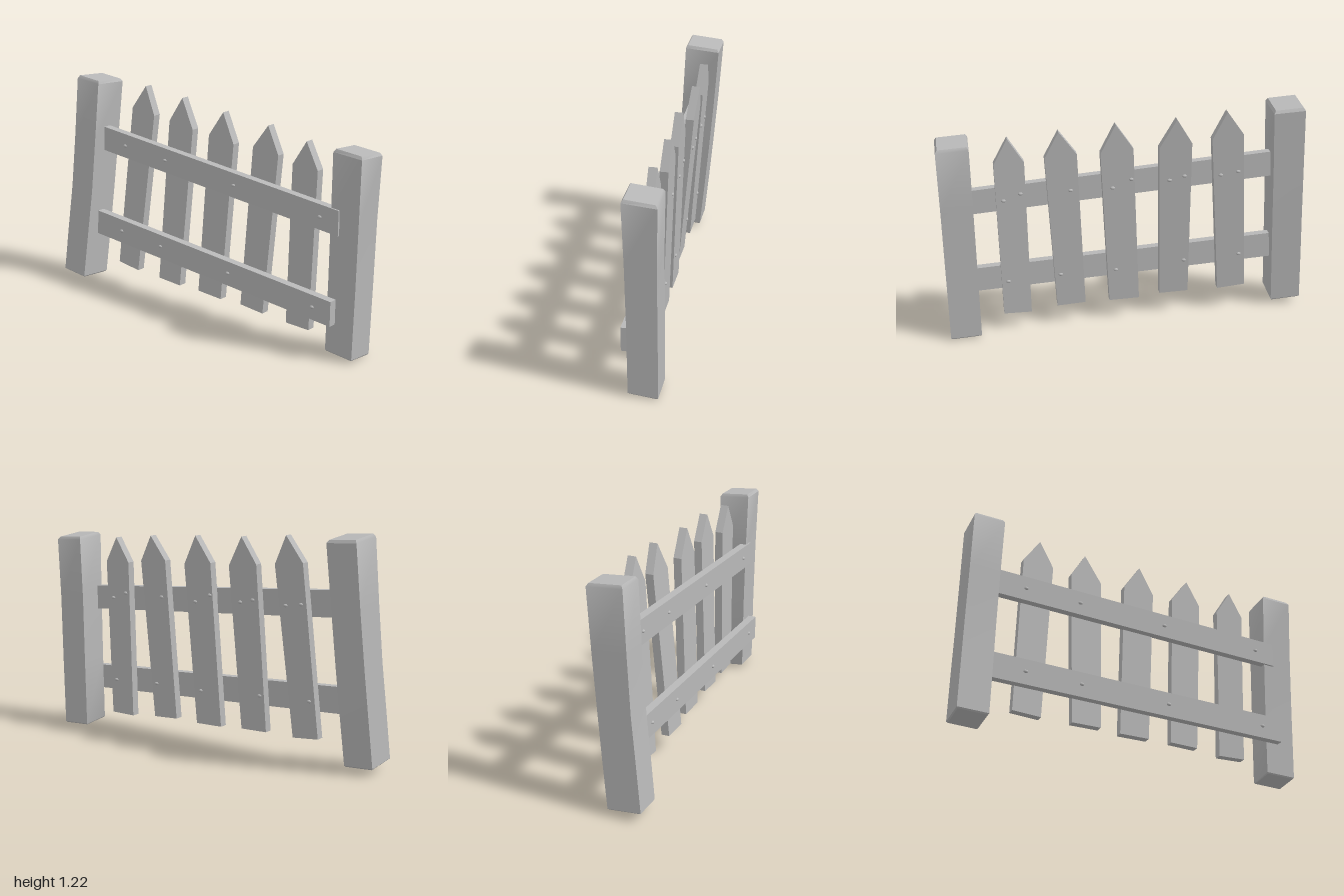
import * as THREE from 'three';
import { toCreasedNormals } from 'three/addons/utils/BufferGeometryUtils.js';

const wood = new THREE.MeshStandardMaterial({ color: 0xb8b8b8 });
wood.name = 'grey';

function addMesh(parent, geometry, name) {
  const mesh = new THREE.Mesh(geometry, wood);
  mesh.name = name;
  parent.add(mesh);
  return mesh;
}

// Post from rows of [y, x0, x1, z0, z1], bottom to top, with its ends cut askew.
function post(rows, slopeX, slopeZ) {
  const last = rows.length - 1;
  const geo = new THREE.BoxGeometry(1, 1, 1, 1, last, 1);
  const pos = geo.attributes.position;
  for (let i = 0; i < pos.count; i++) {
    const [y, x0, x1, z0, z1] = rows[Math.round((pos.getY(i) + 0.5) * last)];
    const u = pos.getX(i), w = pos.getZ(i);
    pos.setXYZ(i,
      THREE.MathUtils.lerp(x0, x1, u + 0.5),
      y + u * slopeX + w * slopeZ,
      THREE.MathUtils.lerp(z0, z1, w + 0.5));
  }
  return toCreasedNormals(geo, 0.6);
}

// Board outlined in the z-y plane and extruded along x; lean(y) gives its back face.
function board(points, thickness, lean) {
  const shape = new THREE.Shape(points.map(([z, y]) => new THREE.Vector2(-z, y)));
  const geo = new THREE.ExtrudeGeometry(shape, { depth: thickness, bevelEnabled: false });
  geo.rotateY(Math.PI / 2);
  const pos = geo.attributes.position;
  for (let i = 0; i < pos.count; i++) pos.setX(i, pos.getX(i) + lean(pos.getY(i)));
  geo.computeVertexNormals();
  return geo;
}

export function createModel() {
  const fence = new THREE.Group();
  fence.name = 'picketFence';

  // Posts
  addMesh(fence, post([
    [0.005, 0.006, 0.148, 0.815, 0.970],
    [0.012, 0.000, 0.155, 0.810, 0.976],
    [0.40, 0.000, 0.156, 0.816, 0.984],
    [0.75, -0.004, 0.155, 0.822, 0.991],
    [1.082, -0.012, 0.162, 0.829, 1.000],
    [1.098, -0.002, 0.152, 0.839, 0.990],
  ], -0.014, -0.010), 'frontPost');
  addMesh(fence, post([
    [0.030, -0.158, 0.010, -0.993, -0.842],
    [0.037, -0.165, 0.017, -1.000, -0.835],
    [0.30, -0.137, 0.045, -0.986, -0.820],
    [0.55, -0.109, 0.070, -0.972, -0.806],
    [0.85, -0.087, 0.098, -0.957, -0.791],
    [1.187, -0.066, 0.125, -0.942, -0.772],
    [1.203, -0.056, 0.115, -0.932, -0.782],
  ], -0.015, -0.010), 'backPost');

  // Rails climb towards the back post
  addMesh(fence, board([[0.875, 0.666], [-0.86, 0.795], [-0.86, 0.935], [0.875, 0.80]],
    0.044, () => -0.014), 'upperRail');
  addMesh(fence, board([[0.875, 0.19], [-0.88, 0.288], [-0.88, 0.43], [0.875, 0.326]],
    0.044, () => -0.057), 'lowerRail');

  // Pickets: outline, outermost x, and how far the top leans out over the bottom
  const pickets = [
    { pts: [[0.68, 0.085], [0.53, 0.085], [0.545, 0.965], [0.63, 1.10], [0.705, 0.96]], out: 0.08, tilt: 0.01 },
    { pts: [[0.385, 0.10], [0.23, 0.11], [0.27, 1.00], [0.365, 1.13], [0.44, 0.985]], out: 0.10, tilt: 0.05 },
    { pts: [[0.095, 0.105], [-0.07, 0.11], [-0.03, 1.01], [0.065, 1.15], [0.145, 0.99]], out: 0.09, tilt: 0.05 },
    { pts: [[-0.19, 0.115], [-0.35, 0.12], [-0.34, 1.03], [-0.255, 1.17], [-0.165, 1.01]], out: 0.115, tilt: 0.10 },
    { pts: [[-0.52, 0.12], [-0.675, 0.135], [-0.62, 1.06], [-0.525, 1.195], [-0.45, 1.04]], out: 0.105, tilt: 0.09 },
  ];
  const thickness = 0.045;
  const faceX = (p, y) => p.out - p.tilt * (1.15 - y) / 1.05;
  pickets.forEach((p, i) =>
    addMesh(fence, board(p.pts, thickness, y => faceX(p, y) - thickness), `picket${i + 1}`));

  // Nail heads
  const nailGeo = new THREE.SphereGeometry(1, 8, 6).scale(0.009, 0.009, 0.013);
  const nails = new THREE.Group();
  nails.name = 'nails';
  fence.add(nails);
  const nail = (x, y, z) => addMesh(nails, nailGeo, 'nail').position.set(x, y, z);

  // [z, y] of the nails through each picket
  [
    [[0.66, 0.755], [0.57, 0.79], [0.65, 0.28]],
    [[0.305, 0.795], [0.365, 0.295]],
    [[0.08, 0.79], [-0.02, 0.835], [0.06, 0.295]],
    [[-0.225, 0.82], [-0.305, 0.84], [-0.32, 0.32]],
    [[-0.505, 0.83], [-0.6, 0.845], [-0.63, 0.335]],
  ].forEach((list, i) => list.forEach(([z, y]) => nail(faceX(pickets[i], y), y, z)));

  // Nails on the rear of the rails
  for (const z of [-0.62, -0.31, 0.19, 0.76]) {
    nail(-0.014, 0.80 - z * 0.076, z);
    nail(-0.057, 0.31 - z * 0.058, z);
  }
  return fence;
}
